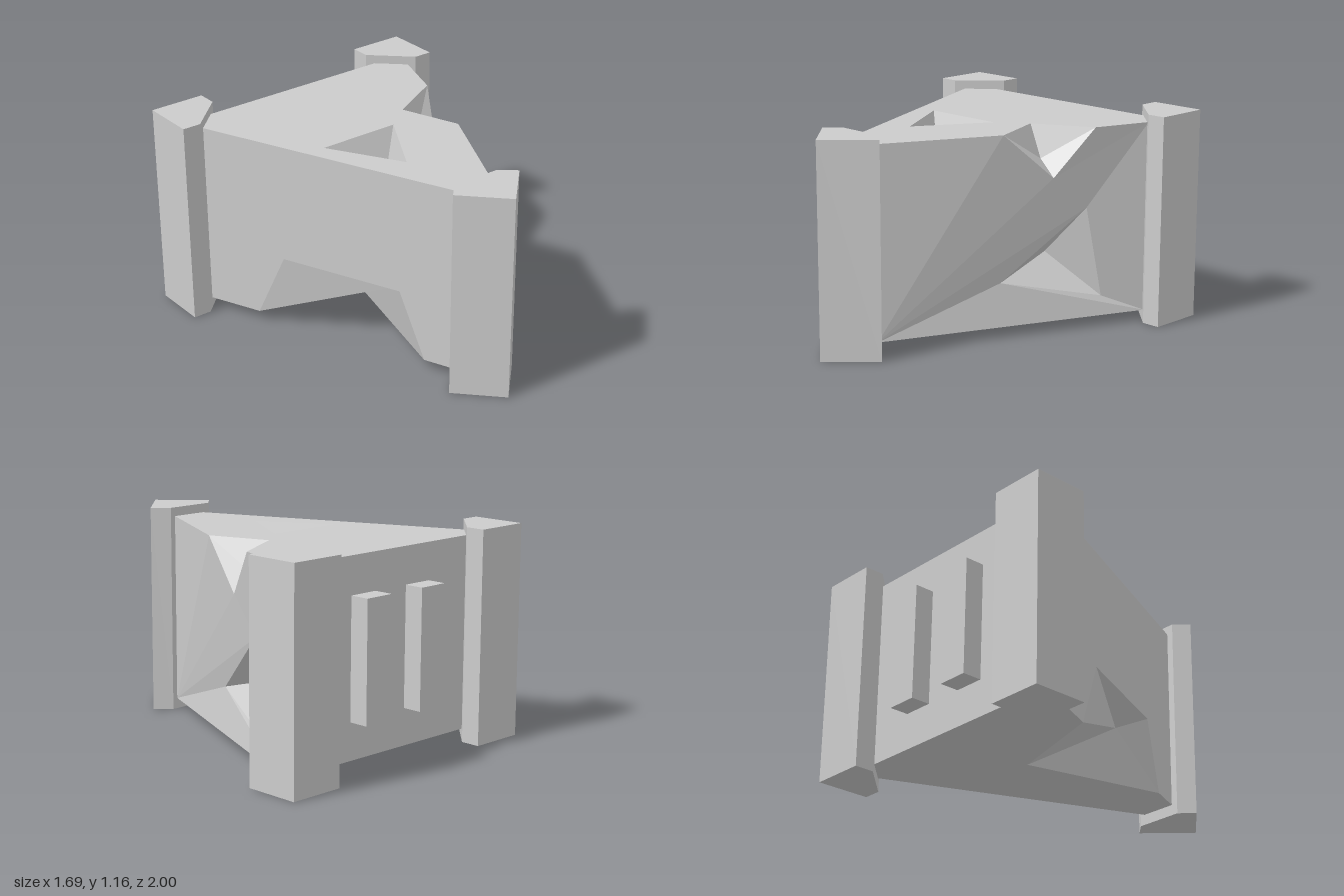
import * as THREE from 'three';

const V = (x, y, z) => new THREE.Vector3(x, y, z);
const LOW = 0.06, HIGH = 1.115, PILLAR_H = 1.165;

export function createModel() {
  const group = new THREE.Group();
  const material = new THREE.MeshStandardMaterial({ color: 0xcccccc, flatShading: true });
  const add = (name, geometry) => {
    const mesh = new THREE.Mesh(geometry, material);
    mesh.name = name;
    group.add(mesh);
    return mesh;
  };

  // Upright prism from an [x, z] footprint
  const prism = (name, footprint) => {
    const shape = new THREE.Shape(footprint.map(([x, z]) => new THREE.Vector2(x, -z)));
    const geometry = new THREE.ExtrudeGeometry(shape, { depth: PILLAR_H, bevelEnabled: false });
    add(name, geometry.rotateX(-Math.PI / 2));
  };

  // Corner pillars
  const corner = [[0.53, -1], [0.845, -1], [0.845, -0.69], [0.74, -0.69], [0.53, -0.89]];
  prism('backLeftPillar', corner);
  prism('backRightPillar', corner.map(([x, z]) => [-x, z]));
  prism('frontPillar', [[0, 1], [0.225, 0.775], [0.14, 0.7], [-0.14, 0.7], [-0.215, 0.775]]);

  // Two upright ribs on the back wall
  for (const [name, x] of [['leftRib', 0.217], ['rightRib', -0.185]]) {
    add(name, new THREE.BoxGeometry(0.175, 0.65, 0.14)).position.set(x, 0.588, -0.895);
  }

  // Flat faces, each wound so that it looks toward a given point
  const positions = [];
  const triangle = (a, b, c, toward) => {
    const normal = b.clone().sub(a).cross(c.clone().sub(a));
    const order = normal.dot(toward.clone().sub(a)) < 0 ? [a, c, b] : [a, b, c];
    order.forEach((p) => positions.push(p.x, p.y, p.z));
  };
  const face = (loop, toward, u, v, hole) => {
    const flat = (points) => points.map((p) => new THREE.Vector2(p[u], p[v]));
    const all = hole ? [...loop, ...hole] : loop;
    THREE.ShapeUtils.triangulateShape(flat(loop), hole ? [flat(hole)] : [])
      .forEach(([a, b, c]) => triangle(all[a], all[b], all[c], toward));
  };

  // Body corners at a given height
  const ring = (y) => ({
    frontL: V(0.11, y, 0.7), sideL: V(0.71, y, -0.73), backL: V(0.575, y, -0.855),
    backR: V(-0.575, y, -0.855), sideR: V(-0.7, y, -0.73), frontR: V(-0.1, y, 0.7),
  });
  const lo = ring(LOW), hi = ring(HIGH);

  // Chip in the left top edge
  const edgeA = V(0.605, HIGH, -0.42), edgeB = V(0.41, HIGH, 0.08);
  const edgeC = V(0.29, HIGH, -0.25), edgeTip = V(0.5, 0.855, -0.21), edgeIn = V(0.38, 0.94, -0.235);
  // Pit in the left wall
  const sidePit = [V(0.345, 0.293, 0.03), V(0.55, 0.667, -0.42), V(0.585, 0.163, -0.51)];
  const sideDeep = V(0.32, 0.395, -0.34);
  // Pit in the top
  const topPit = [V(-0.335, HIGH, -0.13), V(0.13, HIGH, -0.13), V(-0.1, HIGH, 0.27)];
  const topDeep = V(-0.1, 0.74, 0.05);
  // Chip in the right bottom edge
  const cutP = V(-0.51, 0.44, -0.28), cutQ = V(-0.233, 0.44, 0.38), cutE = V(-0.175, LOW, 0.52);
  const cutF = V(-0.575, LOW, -0.44), cutG = V(0.02, LOW, -0.27), cutDeep = V(-0.165, 0.353, 0.2);

  // Outer walls
  face([lo.frontL, lo.sideL, hi.sideL, edgeA, edgeTip, edgeB, hi.frontL], V(9, 0.5, 3), 'z', 'y', sidePit);
  face([lo.frontR, cutE, cutQ, cutP, cutF, lo.sideR, hi.sideR, hi.frontR], V(-9, 0.5, 3), 'z', 'y');
  face([hi.backR, hi.backL, hi.sideL, edgeA, edgeC, edgeB, hi.frontL, hi.frontR, hi.sideR],
    V(0, 9, 0), 'x', 'z', topPit);
  face([lo.backR, lo.backL, lo.sideL, lo.frontL, lo.frontR, cutE, cutG, cutF, lo.sideR],
    V(0, -9, 0), 'x', 'z');
  for (const [a, b, z] of [['frontL', 'frontR', 9], ['sideL', 'backL', -9],
    ['backL', 'backR', -9], ['backR', 'sideR', -9]]) {
    face([lo[a], lo[b], hi[b], hi[a]], V(0, 0.5, z), 'x', 'y');
  }

  // Pit walls
  for (const [rim, deep, toward] of [[sidePit, sideDeep, V(0.65, 0.38, -0.25)],
    [topPit, topDeep, V(-0.1, 1.3, 0)]]) {
    rim.forEach((p, i) => triangle(p, rim[(i + 1) % 3], deep, toward));
  }
  // Chip walls
  const edgeOut = V(0.7, 1.4, -0.15), cutOut = V(-0.6, 0, 0.05);
  for (const [a, b, c, toward] of [
    [edgeA, edgeC, edgeIn, edgeOut], [edgeA, edgeIn, edgeTip, edgeOut],
    [edgeB, edgeC, edgeIn, edgeOut], [edgeB, edgeIn, edgeTip, edgeOut],
    [cutP, cutQ, cutDeep, cutOut], [cutP, cutF, cutDeep, cutOut], [cutF, cutG, cutDeep, cutOut],
    [cutQ, cutE, cutDeep, cutOut], [cutE, cutG, cutDeep, cutOut],
  ]) triangle(a, b, c, toward);

  const body = new THREE.BufferGeometry();
  body.setAttribute('position', new THREE.Float32BufferAttribute(positions, 3));
  body.computeVertexNormals();
  add('chippedBody', body);
  return group;
}
